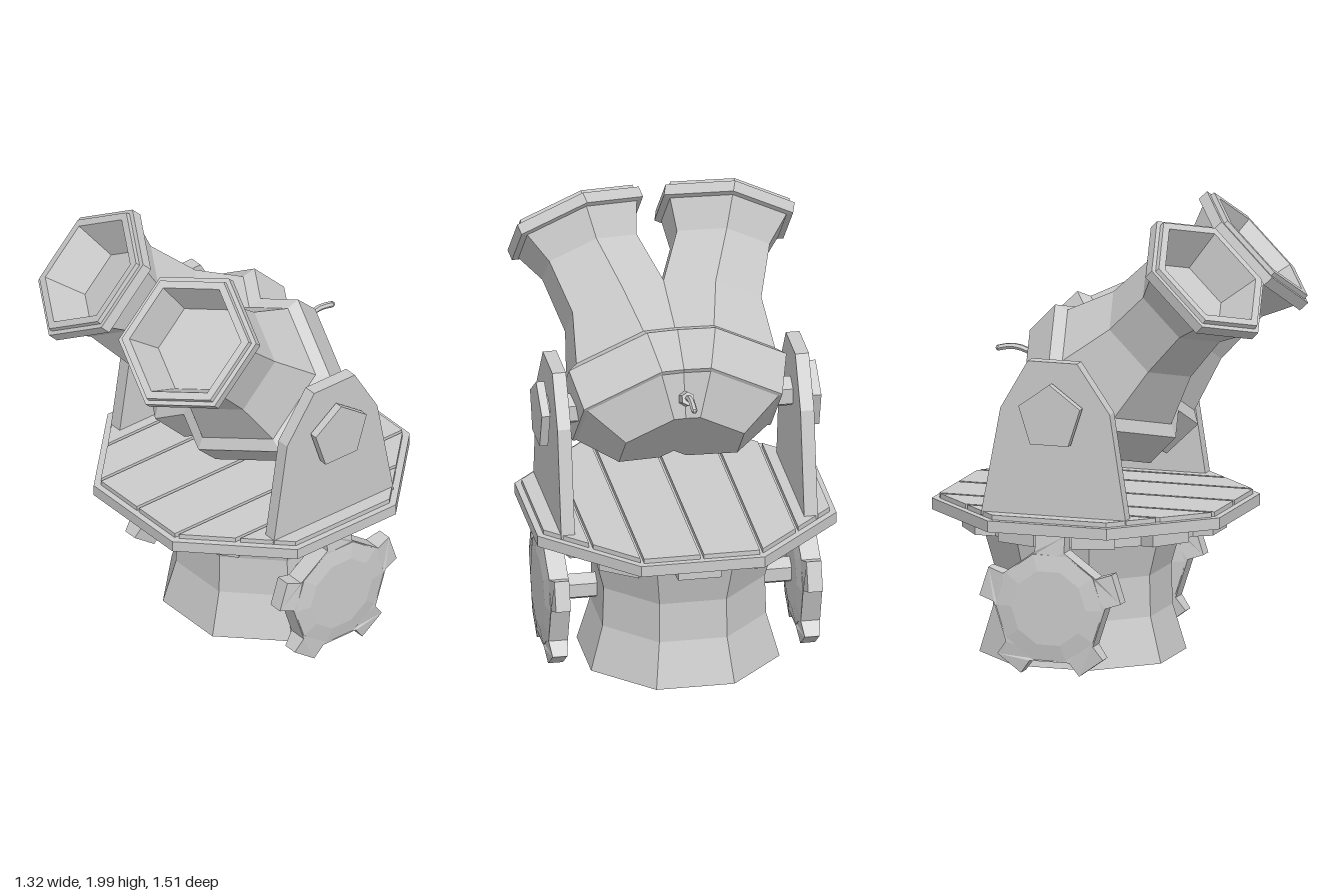
import * as THREE from 'three';

const mat = new THREE.MeshStandardMaterial({ color: 0xcccccc, flatShading: true });
const openMat = new THREE.MeshStandardMaterial({ color: 0xcccccc, flatShading: true, side: THREE.DoubleSide });

function add(parent, name, geo, x = 0, y = 0, z = 0, material = mat) {
  const mesh = new THREE.Mesh(geo, material);
  mesh.name = name;
  mesh.position.set(x, y, z);
  parent.add(mesh);
  return mesh;
}

function extrude(points, depth) {
  const shape = new THREE.Shape(points.map(([x, y]) => new THREE.Vector2(x, y)));
  return new THREE.ExtrudeGeometry(shape, { depth, bevelEnabled: false }).translate(0, 0, -depth / 2);
}

// Chunky gear, first tooth pointing up, thinning from root to tip
function gear(teeth, root, tip, halfWidth, rootDepth, tipDepth) {
  const pts = [];
  for (let i = 0; i < teeth; i++) {
    const a = Math.PI / 2 + (i / teeth) * Math.PI * 2;
    const c = Math.cos(a), s = Math.sin(a);
    const base = Math.sqrt(root * root - halfWidth * halfWidth);
    for (const [r, t] of [[base, -1], [tip, -1], [tip, 1], [base, 1]]) {
      pts.push([c * r - s * t * halfWidth, s * r + c * t * halfWidth]);
    }
  }
  const geo = extrude(pts, 1);
  const p = geo.attributes.position;
  const middle = (root + tip) / 2;
  for (let i = 0; i < p.count; i++) {
    const depth = Math.hypot(p.getX(i), p.getY(i)) > middle ? tipDepth : rootDepth;
    p.setZ(i, p.getZ(i) * depth);
  }
  geo.computeVertexNormals();
  return geo;
}

// Hexagonal barrel lofted along a raised, outward-splayed axis
function barrel(side) {
  const U = new THREE.Vector3(0, Math.SQRT1_2, Math.SQRT1_2);
  const W = new THREE.Vector3(0, Math.SQRT1_2, -Math.SQRT1_2);
  const X = new THREE.Vector3(1, 0, 0);
  const tilt = 0.23;
  const E = X.clone().multiplyScalar(Math.cos(tilt)).addScaledVector(U, -Math.sin(tilt));
  // [distance along axis, radius, sideways offset]
  const rings = [
    [0.572, 0, 0.058], [0.572, 0.24, 0.058],                           // breech
    [0.735, 0.37, 0.108], [0.742, 0.39, 0.108],                        // collar
    [0.926, 0.39, 0.15], [0.955, 0.335, 0.155],
    [1.19, 0.25, 0.205], [1.43, 0.235, 0.287],                         // neck
    [1.56, 0.295, 0.322], [1.565, 0.327, 0.322], [1.612, 0.327, 0.335], // muzzle lip
    [1.612, 0.305, 0.335], [1.632, 0.302, 0.338],
    [1.632, 0.265, 0.338], [1.45, 0.205, 0.29], [1.45, 0, 0.29],       // bore
  ];
  const pos = [], idx = [];
  rings.forEach(([u, r, x], i) => {
    for (let j = 0; j < 6; j++) {
      const a = Math.PI / 6 + (j * Math.PI) / 3;
      const p = new THREE.Vector3(x, 0, 0).addScaledVector(U, u).addScaledVector(W, 0.877)
        .addScaledVector(E, r * Math.cos(a)).addScaledVector(W, r * Math.sin(a));
      pos.push(p.x * side, p.y, p.z);
      if (i === 0) continue;
      const k = (j + 1) % 6, lo = (i - 1) * 6, hi = i * 6;
      const quad = [lo + j, lo + k, hi + k, lo + j, hi + k, hi + j];
      idx.push(...(side > 0 ? quad : quad.reverse()));
    }
  });
  const geo = new THREE.BufferGeometry();
  geo.setAttribute('position', new THREE.Float32BufferAttribute(pos, 3));
  geo.setIndex(idx);
  const flat = geo.toNonIndexed();
  flat.computeVertexNormals();
  return flat;
}

// Six-sided rod along x, with an edge on top
const rod = (r, length) => new THREE.CylinderGeometry(r, r, length, 6).rotateY(Math.PI / 6).rotateZ(Math.PI / 2);

export function createModel() {
  const model = new THREE.Group();
  model.name = 'twinCannonTurret';
  const cz = -0.11;

  // Hollow octagonal waisted pedestal, open underneath
  const k = 1 / Math.cos(Math.PI / 8);
  const profile = [[0.415, 0], [0.36, 0.2], [0.355, 0.38], [0.405, 0.57]]
    .map(([r, y]) => new THREE.Vector2(r * k, y));
  add(model, 'pedestal', new THREE.LatheGeometry(profile, 8, Math.PI / 8), 0, 0, -0.165, openMat);

  // Turntable gear, octagonal deck
  add(model, 'turntableGear', gear(10, 0.49, 0.572, 0.095, 0.08, 0.06).rotateX(-Math.PI / 2), 0, 0.595, cz);
  add(model, 'deck', new THREE.CylinderGeometry(0.658 * k, 0.658 * k, 0.05, 8).rotateY(Math.PI / 8), 0, 0.66, -0.105);

  // Deck planks trimmed to the octagon
  const half = (x) => Math.min(0.63, 0.89 - x);
  for (const s of [1, -1]) {
    for (const [a, b] of [[0.008, 0.255], [0.27, 0.445], [0.46, 0.63]]) {
      const pts = [[a, -half(a)], [b, -half(b)], [b, half(b)], [a, half(a)]].map(([x, y]) => [x * s, y]);
      add(model, 'plank', extrude(pts, 0.022).rotateX(-Math.PI / 2), 0, 0.695, -0.105);
    }
  }

  // Drive axle running through the pedestal
  add(model, 'driveAxle', rod(0.06, 1.06), 0, 0.305, -0.115);

  // Side brackets, pivots, wheels and barrels
  const bracket = [[0.225, 0.69], [0.15, 1.17], [0, 1.385], [-0.225, 1.385], [-0.35, 1.17], [-0.44, 0.69]];
  for (const s of [1, -1]) {
    const name = s > 0 ? 'left' : 'right';
    const wheel = new THREE.Group();
    wheel.name = name + 'GearWheel';
    wheel.position.set(s * 0.555, 0.305, -0.115);
    model.add(wheel);
    add(wheel, 'wheelTeeth', gear(5, 0.255, 0.318, 0.067, 0.085, 0.065).rotateY(Math.PI / 2));
    // Domed hub, thickest in the middle
    const dome = [[0, -0.055], [0.17, -0.055], [0.245, -0.042], [0.245, 0.042], [0.17, 0.055], [0, 0.055]];
    const hub = new THREE.LatheGeometry(dome.map(([r, y]) => new THREE.Vector2(r, y)), 10);
    add(wheel, 'wheelHub', hub.rotateZ(Math.PI / 2));

    add(model, name + 'Bracket', extrude(bracket.map(([z, y]) => [-z, y]), 0.06).rotateY(Math.PI / 2), s * 0.535, 0, 0);
    add(model, name + 'PivotPin', rod(0.07, 0.25), s * 0.465, 1.157, cz);
    const cap = [];
    for (let i = 0; i < 5; i++) {
      const a = Math.PI / 2 + (i * Math.PI * 2) / 5;
      cap.push([0.148 * Math.cos(a), 0.148 * Math.sin(a)]);
    }
    add(model, name + 'PivotCap', extrude(cap, 0.037).rotateY(Math.PI / 2), s * 0.597, 1.147, cz);
    add(model, name + 'Barrel', barrel(s));
  }

  // Fuse socket and fuse at the breech
  const socket = add(model, 'fuseSocket', new THREE.CylinderGeometry(0.03, 0.036, 0.11, 6), 0, 1.277, -0.357);
  socket.rotation.x = -1.15;
  const path = new THREE.CatmullRomCurve3([[1.29, -0.38], [1.315, -0.44], [1.322, -0.49], [1.31, -0.55]]
    .map(([y, z]) => new THREE.Vector3(0, y, z)));
  add(model, 'fuse', new THREE.TubeGeometry(path, 5, 0.014, 6));
  add(model, 'fuseTip', new THREE.SphereGeometry(0.014, 6, 4), 0, 1.31, -0.55);

  return model;
}
